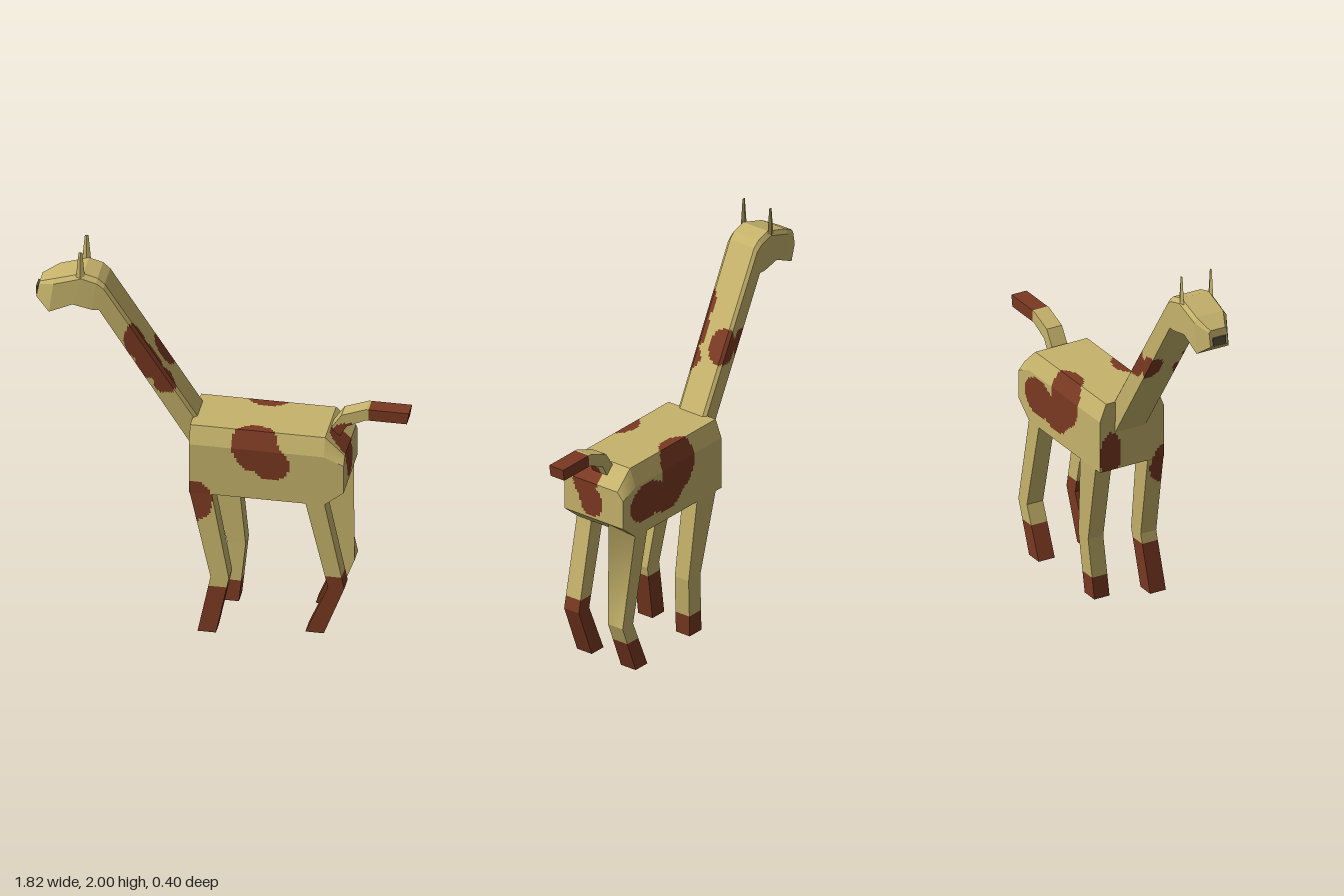
import * as THREE from 'three';

const tan = new THREE.MeshStandardMaterial({ color: 0xc6b36b });
tan.name = 'tanHide';
const brown = new THREE.MeshStandardMaterial({ color: 0x7a3922 });
brown.name = 'brownSpots';
const dark = new THREE.MeshStandardMaterial({ color: 0x5e563c });
dark.name = 'darkMouth';

// Spots are ellipsoids: centre x, y, z and radii x, y, z
const SPOTS = [
  [0.18, 1.05, 0.16, 0.115, 0.15, 0.09], [0.26, 0.95, 0.16, 0.09, 0.09, 0.05], // left flank
  [0.19, 1.02, -0.2, 0.125, 0.16, 0.11], [0.43, 0.91, -0.2, 0.13, 0.1, 0.05], // right flank
  [0.28, 0.88, -0.2, 0.12, 0.08, 0.05],
  [0.62, 1.03, 0.035, 0.12, 0.11, 0.075], [0.62, 0.92, -0.005, 0.06, 0.08, 0.07], // rump
  [-0.11, 0.71, 0.16, 0.085, 0.11, 0.07], [-0.14, 0.83, -0.14, 0.04, 0.12, 0.06], // chest
  [-0.41, 1.53, 0.09, 0.06, 0.1, 0.05], [-0.34, 1.42, 0.08, 0.075, 0.1, 0.05], // neck, left
  [-0.27, 1.31, 0.07, 0.06, 0.07, 0.05],
  [-0.3, 1.41, -0.075, 0.075, 0.1, 0.075], [-0.42, 1.38, -0.07, 0.06, 0.09, 0.06], // neck, right
  [0.835, 1.2, -0.02, 0.125, 1, 1], // tail tip
];

const inSpot = (p) => SPOTS.some(([x, y, z, a, b, c]) =>
  ((p.x - x) / a) ** 2 + ((p.y - y) / b) ** 2 + ((p.z - z) / c) ** 2 < 1);

// Closed loft through rings of [x, y, z], cut into small cells so the spots can be coloured
function painted(name, rings, sockTop = -1) {
  const R = rings.map((r) => r.map((p) => new THREE.Vector3(...p)));
  const n = R[0].length;
  const quads = [];
  for (let k = 0; k + 1 < R.length; k++) {
    for (let i = 0; i < n; i++) {
      const j = (i + 1) % n;
      quads.push([R[k][i], R[k][j], R[k + 1][j], R[k + 1][i]]);
    }
  }
  for (const c of [[...R[0]].reverse(), R[R.length - 1]]) {
    for (let i = 0; i < n / 2 - 1; i++) quads.push([c[i], c[i + 1], c[n - 2 - i], c[n - 1 - i]]);
  }
  // Turn all faces outward
  const mid = new THREE.Vector3();
  let volume = 0;
  for (const [a, b, c, d] of quads) {
    volume += a.dot(mid.crossVectors(b, c)) + a.dot(mid.crossVectors(c, d));
  }
  const lists = [[], []];
  const step = 0.013;
  for (const q of quads) {
    const [a, b, c, d] = volume < 0 ? [q[3], q[2], q[1], q[0]] : q;
    const nu = Math.max(1, Math.ceil(Math.max(a.distanceTo(b), d.distanceTo(c)) / step));
    const nv = Math.max(1, Math.ceil(Math.max(a.distanceTo(d), b.distanceTo(c)) / step));
    const at = (u, v) => a.clone().lerp(b, u / nu).lerp(d.clone().lerp(c, u / nu), v / nv);
    for (let u = 0; u < nu; u++) {
      for (let v = 0; v < nv; v++) {
        const m = at(u + 0.5, v + 0.5);
        const list = lists[inSpot(m) || m.y < sockTop ? 1 : 0];
        const [p, s, t, w] = [at(u, v), at(u + 1, v), at(u + 1, v + 1), at(u, v + 1)];
        for (const e of [p, s, t, p, t, w]) list.push(e.x, e.y, e.z);
      }
    }
  }
  const g = new THREE.BufferGeometry();
  g.setAttribute('position', new THREE.Float32BufferAttribute(lists[0].concat(lists[1]), 3));
  g.addGroup(0, lists[0].length / 3, 0);
  g.addGroup(lists[0].length / 3, lists[1].length / 3, 1);
  g.computeVertexNormals();
  const mesh = new THREE.Mesh(g, [tan, brown]);
  mesh.name = name;
  return mesh;
}

// Level four-sided ring for legs
const level = (y, x0, x1, z0, z1) => [[x0, y, z0], [x1, y, z0], [x1, y, z1], [x0, y, z1]];

// Body section with bevelled top edges
const bodyRing = (x, low, shoulder, top) => [
  [x, low, 0.16], [x, shoulder, 0.16], [x, top, 0.125],
  [x, top, -0.165], [x, shoulder, -0.2], [x, low, -0.2],
];

// Neck and head section between an upper and a lower point
function neckRing([tx, ty], [bx, by], zc, h) {
  const sx = tx + (bx - tx) * 0.13;
  const sy = ty + (by - ty) * 0.13;
  return [
    [bx, by, zc + h], [sx, sy, zc + h], [tx, ty, zc + h * 0.82],
    [tx, ty, zc - h * 0.82], [sx, sy, zc - h], [bx, by, zc - h],
  ];
}

const tailRing = ([ux, uy], [lx, ly]) => [[ux, uy, 0.02], [ux, uy, -0.065], [lx, ly, -0.065], [lx, ly, 0.02]];

export function createModel() {
  const model = new THREE.Group();
  model.name = 'giraffe';

  model.add(painted('body', [
    bodyRing(-0.14, 0.75, 1.02, 1.11),
    bodyRing(0.52, 0.75, 1.02, 1.11),
    bodyRing(0.617, 0.83, 0.98, 1.02),
  ]));

  model.add(painted('neckAndHead', [
    neckRing([-0.12, 1.11], [-0.13, 0.93], -0.03, 0.085),
    neckRing([-0.565, 1.83], [-0.59, 1.69], 0.012, 0.09),
    neckRing([-0.6, 1.86], [-0.625, 1.69], 0.013, 0.092),
    neckRing([-0.67, 1.88], [-0.72, 1.71], 0.014, 0.092),
    neckRing([-0.81, 1.835], [-0.835, 1.655], 0.014, 0.09),
    neckRing([-0.89, 1.79], [-0.905, 1.71], 0.01, 0.05),
  ]));

  // Mouth
  const mouth = new THREE.Mesh(new THREE.BoxGeometry(0.009, 0.04, 0.07), dark);
  mouth.name = 'mouth';
  mouth.position.set(-0.905, 1.735, 0.01);
  model.add(mouth);

  // Ears
  for (const [name, z] of [['leftEar', 0.096], ['rightEar', -0.068]]) {
    const ear = new THREE.Mesh(new THREE.CylinderGeometry(0.009, 0.022, 0.14, 4).toNonIndexed(), tan);
    ear.geometry.computeVertexNormals();
    ear.name = name;
    ear.scale.z = 0.4;
    ear.position.set(-0.682, 1.93, z);
    model.add(ear);
  }

  model.add(painted('tail', [
    tailRing([0.52, 1.09], [0.565, 1.05]),
    tailRing([0.58, 1.18], [0.605, 1.12]),
    tailRing([0.7, 1.225], [0.7, 1.165]),
    tailRing([0.91, 1.225], [0.9, 1.165]),
  ]));

  // Hind legs; the right thigh is wider at the back
  model.add(painted('leftHindLeg', [
    level(0.76, 0.428, 0.522, 0.07, 0.159),
    level(0.29, 0.54, 0.62, 0.07, 0.16),
    level(0.03, 0.43, 0.52, 0.07, 0.16),
  ], 0.35));
  model.add(painted('rightHindLeg', [
    [[0.428, 0.76, -0.199], [0.522, 0.76, -0.199], [0.617, 0.835, -0.11], [0.428, 0.76, -0.11]],
    level(0.29, 0.54, 0.62, -0.2, -0.11),
    level(0.03, 0.43, 0.52, -0.2, -0.11),
  ], 0.19));

  // Front legs
  model.add(painted('leftFrontLeg', [
    level(0.76, -0.138, -0.03, 0.07, 0.159),
    level(0.3, -0.03, 0.06, 0.095, 0.182),
    level(0.0, -0.09, 0.0, 0.112, 0.2),
  ], 0.25));
  model.add(painted('rightFrontLeg', [
    level(0.76, -0.1, 0.045, -0.199, -0.11),
    level(0.33, 0.0, 0.09, -0.182, -0.097),
    level(0.015, -0.03, 0.06, -0.165, -0.08),
  ], 0.13));

  return model;
}
